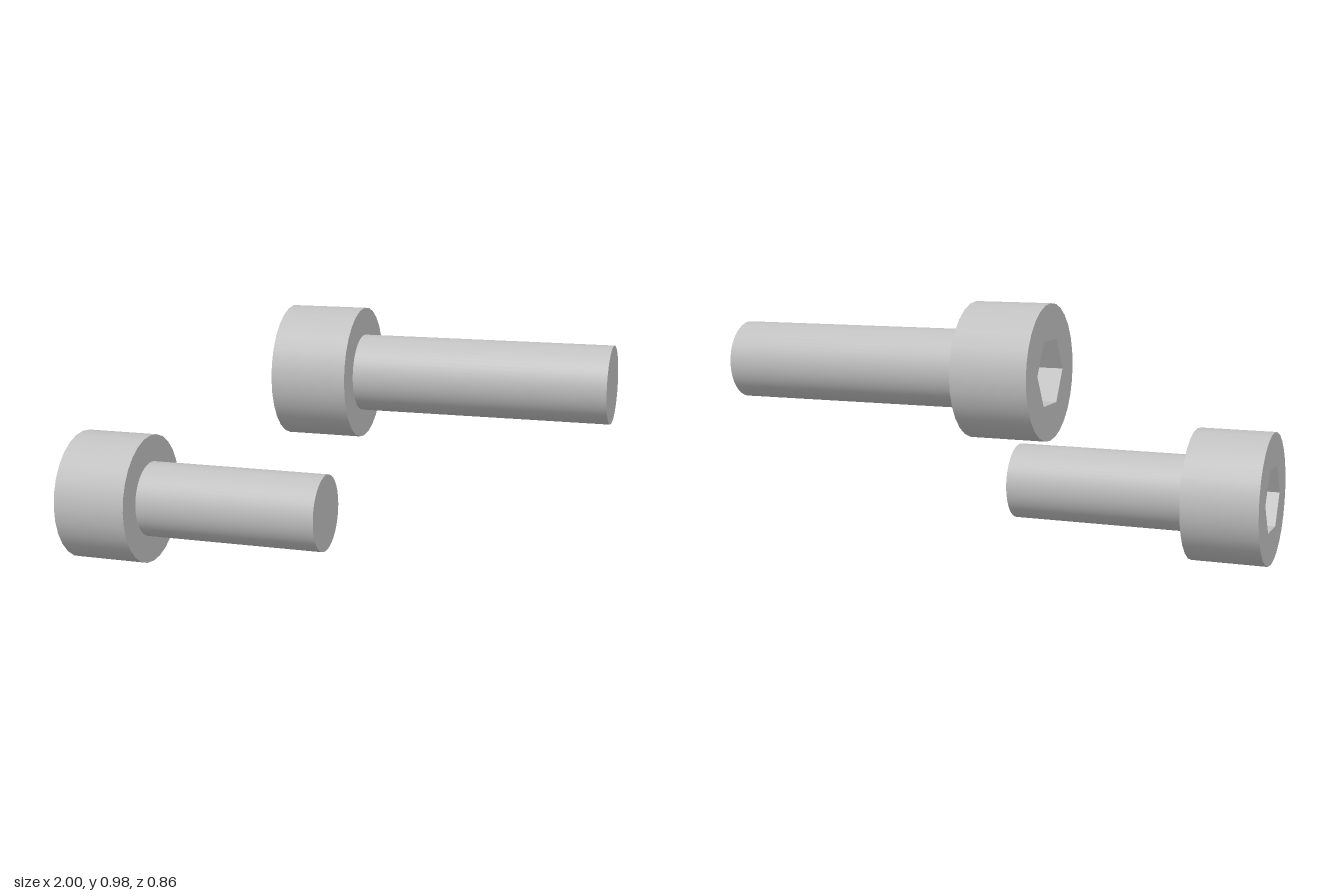
import * as THREE from 'three';
import { mergeGeometries } from 'three/addons/utils/BufferGeometryUtils.js';

const HEAD_R = 0.251, HEAD_L = 0.29, HEAD_SIDES = 28;
const SHAFT_R = 0.146, SHAFT_SIDES = 56;
const HEX_R = 0.135, HEX_DEPTH = 0.146;

const steel = new THREE.MeshStandardMaterial({ color: 0xc0c0c0 });
steel.name = 'steel grey';

const polygon = (r, n) => Array.from({ length: n }, (_, i) => {
  const a = (i / n) * Math.PI * 2;
  return new THREE.Vector2(r * Math.cos(a), r * Math.sin(a));
});

// Flat polygon with a polygonal hole, facing +z
function washer(r, n, holeR, holeN) {
  const shape = new THREE.Shape(polygon(r, n));
  shape.holes.push(new THREE.Path(polygon(holeR, holeN)));
  return new THREE.ShapeGeometry(shape);
}

// Open tube running along +x from x0 to x1
function tube(r, sides, x0, x1) {
  return new THREE.CylinderGeometry(r, r, x1 - x0, sides, 1, true)
    .rotateZ(-Math.PI / 2).translate((x0 + x1) / 2, 0, 0);
}

// Six inward-facing walls of the hex socket
function socketWalls() {
  const walls = [];
  for (let i = 0; i < 6; i++) {
    walls.push(new THREE.PlaneGeometry(HEX_R, HEX_DEPTH)
      .rotateX(Math.PI / 2)
      .translate(0, HEX_R * Math.cos(Math.PI / 6), -HEX_DEPTH / 2)
      .rotateZ(i * Math.PI / 3));
  }
  return mergeGeometries(walls).rotateY(-Math.PI / 2);
}

// Socket-head bolt pointing along +x, outer face of the head at x = 0
function createBolt(name, length) {
  const bolt = new THREE.Group();
  bolt.name = name;
  const add = (part, geometry) => {
    const mesh = new THREE.Mesh(geometry, steel);
    mesh.name = part;
    bolt.add(mesh);
  };
  const q = Math.PI / 2;

  // Head
  add('headSide', tube(HEAD_R, HEAD_SIDES, 0, HEAD_L));
  add('headRim', washer(HEAD_R, HEAD_SIDES, HEX_R, 6).rotateY(-q));
  add('headShoulder', washer(HEAD_R, HEAD_SIDES, SHAFT_R, SHAFT_SIDES).rotateY(q).translate(HEAD_L, 0, 0));

  // Hex socket
  add('socketWalls', socketWalls());
  add('socketFloor', new THREE.CircleGeometry(HEX_R, 6).rotateY(-q).translate(HEX_DEPTH, 0, 0));

  // Shaft
  add('shaft', tube(SHAFT_R, SHAFT_SIDES, HEAD_L, length));
  add('shaftEnd', new THREE.CircleGeometry(SHAFT_R, SHAFT_SIDES).rotateY(q).translate(length, 0, 0));
  return bolt;
}

export function createModel() {
  const model = new THREE.Group();
  model.name = 'bolts';
  const shortBolt = createBolt('shortBolt', 1.005);
  shortBolt.position.set(-1, 0.252, 0.18);
  const longBolt = createBolt('longBolt', 1.25);
  longBolt.position.set(-0.25, 0.733, -0.18);
  model.add(shortBolt, longBolt);
  return model;
}
